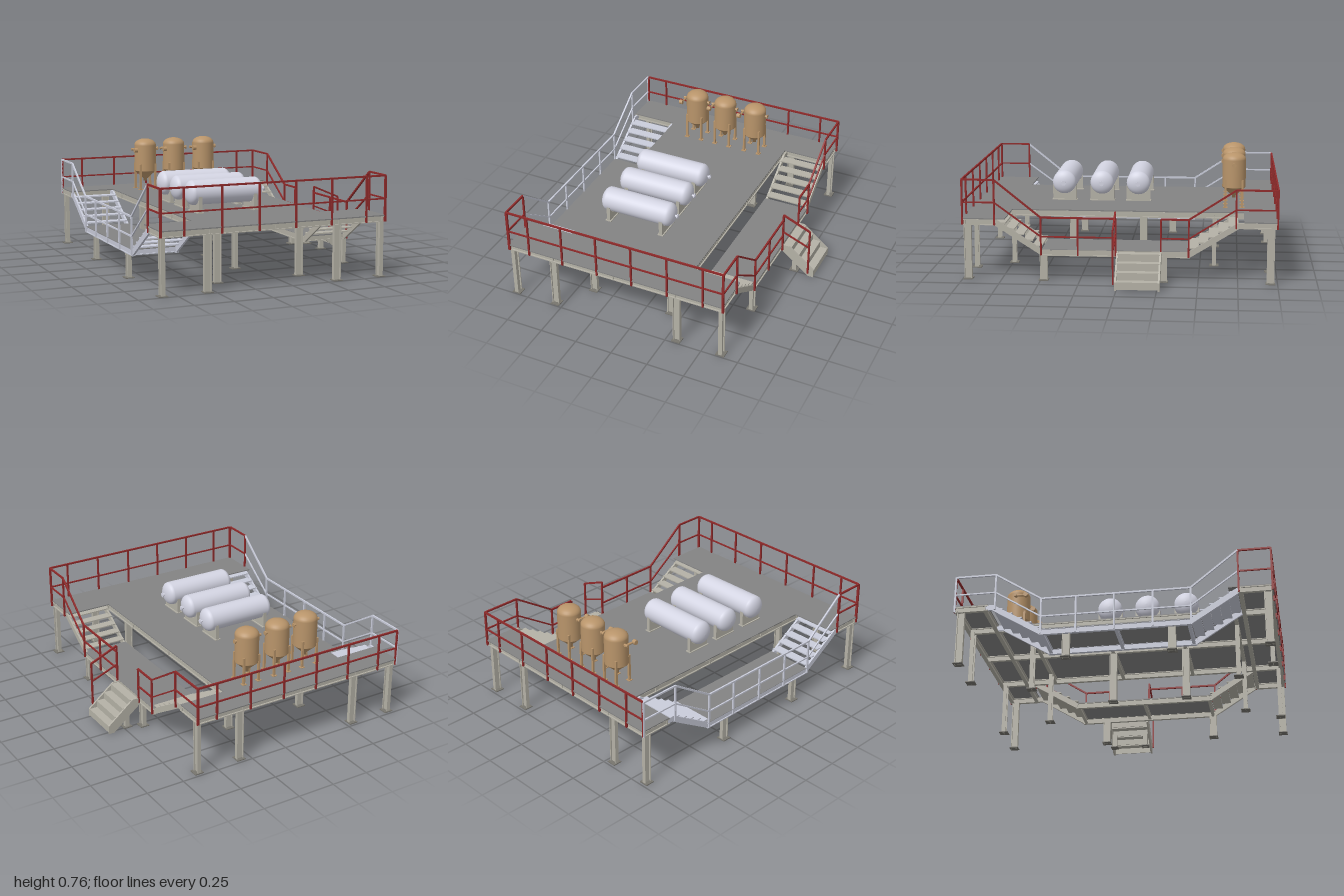
import * as THREE from 'three';

const mat = (color) => new THREE.MeshStandardMaterial({ color, side: THREE.DoubleSide });
const steel = mat(0xb4b1a6), pale = mat(0xc9ccda), red = mat(0x8f2a2a), deckGrey = mat(0x838383);
const tan = mat(0xb8946a), shell = mat(0xd3d4e2), plate = mat(0x77756e);
const V = (x, y, z) => new THREE.Vector3(x, y, z);

export function createModel() {
  const model = new THREE.Group();
  model.name = 'processPlatform';

  const add = (name, geo, m, x = 0, y = 0, z = 0, parent = model) => {
    const mesh = new THREE.Mesh(geo, m);
    mesh.name = name;
    mesh.position.set(x, y, z);
    parent.add(mesh);
    return mesh;
  };
  // Box given by its limits on each axis
  const block = (name, m, x0, x1, y0, y1, z0, z1, parent) =>
    add(name, new THREE.BoxGeometry(x1 - x0, y1 - y0, z1 - z0), m,
      (x0 + x1) / 2, (y0 + y1) / 2, (z0 + z1) / 2, parent);
  // Square bar between two points
  const bar = (name, m, a, b, t = 0.01, h = t) => {
    const mid = a.clone().add(b).multiplyScalar(0.5);
    const mesh = add(name, new THREE.BoxGeometry(t, h, a.distanceTo(b)), m, mid.x, mid.y, mid.z);
    mesh.lookAt(b);
    return mesh;
  };
  // I-section member between two points; up is the direction of its depth
  const iBeam = (name, m, a, b, w, d, up = V(0, 1, 0)) => {
    const s = new THREE.Shape(), t = 0.006, k = 0.003;
    s.setFromPoints([[-w, -d], [w, -d], [w, -d + 2 * t], [k * 2, -d + 2 * t], [k * 2, d - 2 * t], [w, d - 2 * t],
      [w, d], [-w, d], [-w, d - 2 * t], [-k * 2, d - 2 * t], [-k * 2, -d + 2 * t], [-w, -d + 2 * t]]
      .map(([x, y]) => new THREE.Vector2(x / 2, y / 2)));
    const geo = new THREE.ExtrudeGeometry(s, { depth: a.distanceTo(b), bevelEnabled: false });
    const mesh = add(name, geo, m, a.x, a.y, a.z);
    mesh.up.copy(up);
    mesh.lookAt(b);
  };

  // Decks
  block('mainDeck', deckGrey, -0.55, 0.33, 0.39, 0.397, -1, 1);
  for (const [x0, x1] of [[-0.86, -0.55], [0.33, 0.64]]) {
    block('frontDeck', deckGrey, x0, x1, 0.39, 0.397, 0.725, 1);
    block('backDeck', deckGrey, x0, x1, 0.39, 0.397, -1, -0.785);
    block('lowerWalkway', deckGrey, x0, x1, 0.195, 0.202, -0.44, 0.49);
  }

  // Beams under the decks
  const H = 0.371, D = 0.038;
  for (const z of [0.98, 0.80, -0.80, -0.98])
    iBeam('crossBeam', steel, V(-0.86, H, z), V(0.64, H, z), 0.025, D);
  for (const z of [0.74, 0.375, -0.11, -0.595])
    iBeam('innerCrossBeam', steel, V(-0.55, H, z), V(0.33, H, z), 0.022, D);
  for (const x of [-0.54, -0.11, 0.32])
    iBeam('longBeam', steel, V(x, H, -0.99), V(x, H, 0.99), 0.022, D);
  for (const x of [-0.85, 0.63]) {
    iBeam('endBeam', steel, V(x, H, 0.78), V(x, H, 0.99), 0.022, D);
    iBeam('endBeam', steel, V(x, H, -0.99), V(x, H, -0.78), 0.022, D);
  }

  // Columns with base plates; alongX sets the direction of the section depth
  const column = (x, z, top, alongX) => {
    iBeam('column', steel, V(x, 0, z), V(x, top, z), 0.026, 0.048, alongX ? V(1, 0, 0) : V(0, 0, 1));
    block('basePlate', plate, x - 0.03, x + 0.03, 0, 0.006, z - 0.03, z + 0.03);
  };
  for (const z of [0.965, -0.955]) {
    for (const x of [-0.84, 0.625]) column(x, z, 0.355, false);
    for (const x of [-0.55, 0.32]) column(x, z, 0.355, true);
  }
  for (const z of [0.74, -0.595]) for (const x of [-0.39, 0.17]) column(x, z, 0.355, true);
  for (const z of [0.375, -0.11]) column(-0.11, z, 0.355, false);
  for (const z of [0.375, -0.28]) column(-0.84, z, 0.165, false);
  for (const z of [0.48, -0.28]) column(0.625, z, 0.165, false);

  // Lower walkway beams and the stairs that climb to the end decks
  for (const [m, xa, xb] of [[pale, -0.85, -0.56], [steel, 0.34, 0.63]]) {
    for (const x of [xa, xb]) {
      iBeam('walkwayBeam', m, V(x, 0.18, -0.45), V(x, 0.18, 0.5), 0.02, 0.04);
      bar('stairStringer', m, V(x, 0.18, 0.49), V(x, 0.372, 0.79), 0.014, 0.036);
      bar('stairStringer', m, V(x, 0.18, -0.44), V(x, 0.372, -0.75), 0.014, 0.036);
      block('stringerEnd', m, x - 0.007, x + 0.007, 0.355, 0.39, -0.8, -0.74);
    }
    for (const z of [-0.43, 0.03, 0.48])
      iBeam('walkwayCrossBeam', m, V(xa, 0.18, z), V(xb, 0.18, z), 0.02, 0.034);
    for (let i = 0; i < 5; i++) {
      const y = 0.225 + i * 0.036;
      const zf = 0.52 + i * 0.058, zb = -0.47 - i * 0.062;
      block('stairTread', m, xa, xb, y - 0.008, y, zf - 0.031, zf + 0.031);
      block('stairTread', m, xa, xb, y - 0.008, y, zb - 0.031, zb + 0.031);
    }
  }

  // Side stair down to the ground
  const stringer = new THREE.Shape([[0.64, 0.2], [0.69, 0.2], [0.868, 0.055], [0.868, 0], [0.83, 0], [0.64, 0.155]]
    .map(([x, y]) => new THREE.Vector2(x, y)));
  for (const z of [-0.27, 0.0])
    add('sideStairStringer', new THREE.ExtrudeGeometry(stringer, { depth: 0.012, bevelEnabled: false }), steel, 0, 0, z);
  for (let i = 0; i < 4; i++) {
    const x = 0.65 + i * 0.054, y = 0.196 - i * 0.047;
    block('sideStairTread', steel, x, x + 0.056, y - 0.008, y, -0.262, 0.005);
    block('sideStairRiser', steel, x + 0.05, x + 0.056, y - 0.047, y, -0.262, 0.005);
  }
  for (const z of [-0.24, -0.02]) {
    block('sideStairSupport', steel, 0.71, 0.74, 0, 0.1, z - 0.015, z + 0.015);
    block('supportPlate', plate, 0.695, 0.755, 0, 0.006, z - 0.025, z + 0.025);
  }

  // Railings: a post at each point, with top and middle rails between them
  // Each point is [x, z, base, middle, top]
  const railing = (name, m, pts) => pts.forEach(([x, z, base, mid, top], i) => {
    bar(name + 'Post', m, V(x, base, z), V(x, top, z), 0.011);
    if (!i) return;
    const p = pts[i - 1];
    bar(name + 'TopRail', m, V(p[0], p[4], p[1]), V(x, top, z), 0.011);
    bar(name + 'MiddleRail', m, V(p[0], p[3], p[1]), V(x, mid, z), 0.009);
  });
  const postX = [-0.855, -0.71, -0.468, -0.222, 0.022, 0.268, 0.51, 0.642];
  railing('front', red, postX.map((x) => [x, 0.995, 0.355, 0.5, 0.645]));
  railing('back', red, postX.map((x) => [x, -0.995, 0.355, 0.475, 0.6]));
  const frontEnd = (x) => [[x, 0.995, 0.355, 0.5, 0.645], [x, 0.79, 0.355, 0.5, 0.645]];
  const slopeDown = (x) => [[x, 0.79, 0.355, 0.5, 0.645], [x, 0.495, 0.165, 0.285, 0.408]];
  const walk = (x, z) => [x, z, 0.165, 0.285, 0.408];
  const backRise = (x) => [walk(x, -0.44), [x, -0.735, 0.355, 0.475, 0.6], [x, -0.995, 0.355, 0.475, 0.6]];
  railing('rightEnd', red, frontEnd(-0.86));
  railing('leftEnd', red, frontEnd(0.645));
  railing('leftFront', red, [...slopeDown(0.645), walk(0.645, 0.26), walk(0.645, 0.02)]);
  railing('leftBack', red, [walk(0.645, -0.265), ...backRise(0.645)]);
  railing('rightSide', pale, [...slopeDown(-0.86), walk(-0.86, 0.26), walk(-0.86, 0.02), walk(-0.86, -0.22), ...backRise(-0.86)]);
  railing('sideStair', red, [[0.645, 0.022, 0.165, 0.315, 0.45], [0.832, 0.022, 0.03, 0.24, 0.37]]);

  // Smooth vessel profile with elliptical ends
  const dome = (r, y, h, sign) => Array.from({ length: 9 }, (_, i) => {
    const a = (sign > 0 ? i : 8 - i) / 8 * Math.PI / 2;
    return new THREE.Vector2(r * Math.cos(a), y + sign * h * Math.sin(a));
  });
  const cyl = (r, h) => new THREE.CylinderGeometry(r, r, h, 20);

  // Horizontal tanks on saddles
  const tankGeo = new THREE.LatheGeometry([...dome(0.079, -0.215, 0.045, -1), ...dome(0.079, 0.215, 0.045, 1)], 40);
  for (const z of [0.42, 0.165, -0.08]) {
    const tank = new THREE.Group();
    tank.name = 'horizontalTank';
    tank.position.set(-0.21, 0.523, z);
    model.add(tank);
    add('tankShell', tankGeo, shell, 0, 0, 0, tank).rotation.z = Math.PI / 2;
    add('endNozzle', cyl(0.008, 0.03), shell, 0.267, 0, 0, tank).rotation.z = Math.PI / 2;
    add('nozzleFlange', cyl(0.016, 0.006), shell, 0.276, 0, 0, tank).rotation.z = Math.PI / 2;
    // Saddle plate with a round cradle
    const s = new THREE.Shape();
    s.moveTo(-0.08, -0.126);
    s.lineTo(0.08, -0.126);
    s.lineTo(0.08, -0.02);
    s.absarc(0, 0, 0.0815, -0.25, -Math.PI + 0.25, true);
    s.lineTo(-0.08, -0.02);
    s.closePath();
    for (const x of [-0.19, 0.19]) {
      const saddle = add('saddle', new THREE.ExtrudeGeometry(s, { depth: 0.024, bevelEnabled: false }), steel, x - 0.012, 0, 0, tank);
      saddle.rotation.y = Math.PI / 2;
      block('saddleFoot', steel, x - 0.02, x + 0.02, -0.127, -0.12, -0.085, 0.085, tank);
    }
  }

  // Upright vessels with cone bottoms on four legs
  const vesselGeo = new THREE.LatheGeometry([new THREE.Vector2(0.001, 0.455), new THREE.Vector2(0.013, 0.455),
    new THREE.Vector2(0.013, 0.47), new THREE.Vector2(0.077, 0.528), new THREE.Vector2(0.077, 0.53),
    ...dome(0.077, 0.71, 0.046, 1)], 40);
  for (const x of [-0.325, -0.108, 0.12]) {
    const vessel = new THREE.Group();
    vessel.name = 'uprightVessel';
    vessel.position.set(x, 0, -0.72);
    model.add(vessel);
    add('vesselShell', vesselGeo, tan, 0, 0, 0, vessel);
    for (const sx of [-1, 1]) for (const sz of [-1, 1]) {
      const lx = sx * 0.055, lz = sz * 0.055;
      block('vesselLeg', tan, lx - 0.007, lx + 0.007, 0.395, 0.58, lz - 0.007, lz + 0.007, vessel);
      block('vesselFoot', tan, lx - 0.015, lx + 0.015, 0.395, 0.401, lz - 0.015, lz + 0.015, vessel);
    }
    // Side nozzles, the left one feeding a short pipe
    add('rightNozzle', cyl(0.009, 0.04), tan, -0.085, 0.682, 0, vessel).rotation.z = Math.PI / 2;
    add('leftNozzle', cyl(0.008, 0.025), tan, 0.083, 0.682, 0, vessel).rotation.z = Math.PI / 2;
    add('leftFlange', cyl(0.014, 0.006), tan, 0.092, 0.682, 0, vessel).rotation.z = Math.PI / 2;
    add('branchPipe', cyl(0.007, 0.08), tan, -0.088, 0.682, 0.03, vessel).rotation.x = Math.PI / 2;
    add('branchFlange', cyl(0.016, 0.024), tan, -0.095, 0.682, 0.07, vessel).rotation.z = Math.PI / 2;
  }
  return model;
}
